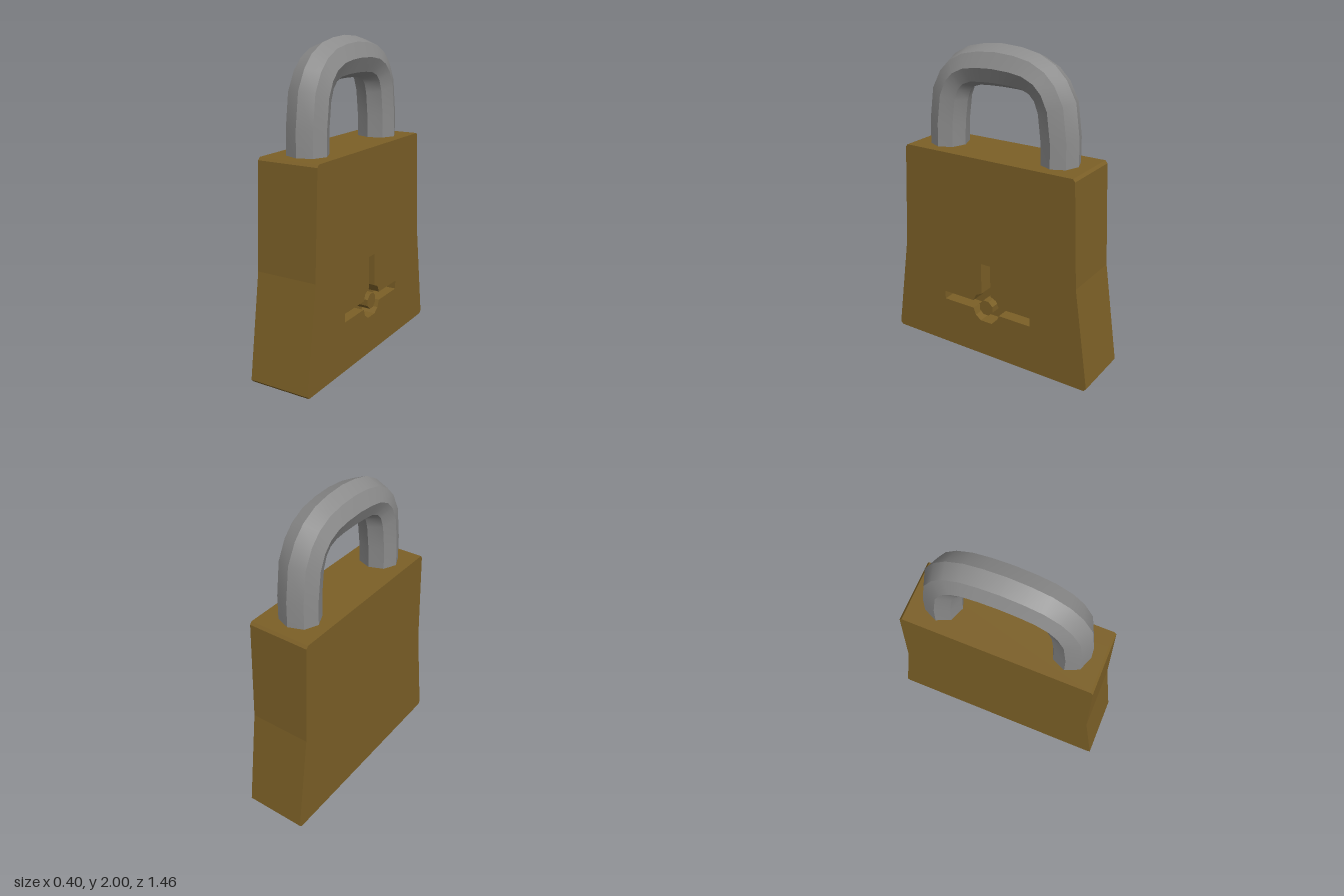
import * as THREE from 'three';

const brass = new THREE.MeshStandardMaterial({ color: 0x7c6027 });
brass.name = 'brass';
const steel = new THREE.MeshStandardMaterial({ color: 0x8c8c8c });
steel.name = 'steel';

const mirrored = (half) => [...half, ...half.map(([u, v]) => [-u, v]).reverse()];
const vectors = (points) => points.map(([u, v]) => new THREE.Vector2(u, v));

// Extrudes a side profile along x, from x0 to x1
function slab(name, shape, x0, x1) {
  const geometry = new THREE.ExtrudeGeometry(shape, { depth: x1 - x0, bevelEnabled: false });
  geometry.rotateY(Math.PI / 2);
  geometry.translate(x0, 0, 0);
  const mesh = new THREE.Mesh(geometry, brass);
  mesh.name = name;
  return mesh;
}

// Flared body outline with small chamfers
const bodyShape = () => new THREE.Shape(vectors(mirrored([
  [0.715, 0], [0.732, 0.018], [0.637, 0.67], [0.606, 1.325], [0.592, 1.342],
])));

// Round keyway with two side slots and one upper slot
const keywayOutline = mirrored([
  [0.042, 0.247], [0.08, 0.276], [0.098, 0.322], [0.325, 0.322], [0.325, 0.378],
  [0.098, 0.378], [0.078, 0.422], [0.035, 0.443], [0.035, 0.653],
]);

// Octagonal bar whose sides are creased across and smooth along the bend
function shackleGeometry() {
  // Each row: outer z, outer y, inner z, inner y
  const half = [
    [0.522, 1.25, 0.287, 1.25], [0.52, 1.5, 0.281, 1.48], [0.49, 1.715, 0.262, 1.63],
    [0.425, 1.835, 0.242, 1.69], [0.35, 1.91, 0.212, 1.722], [0.245, 1.965, 0.165, 1.738],
    [0.13, 1.99, 0.095, 1.743],
  ];
  const rows = [...half, [0, 2, 0, 1.745],
    ...half.map(([a, b, c, d]) => [-a, b, -c, d]).reverse()];
  const sides = 8, positions = [], indices = [];
  for (let s = 0; s < sides; s++) {
    const base = positions.length / 3;
    rows.forEach(([oz, oy, iz, iy], r) => {
      for (const k of [s, s + 1]) {
        const a = (k / sides) * Math.PI * 2;
        const t = (1 + Math.cos(a)) / 2;
        positions.push(0.13 * Math.sin(a), iy + (oy - iy) * t, iz + (oz - iz) * t);
      }
      if (r === 0) return;
      const p = base + (r - 1) * 2;
      indices.push(p, p + 1, p + 2, p + 1, p + 3, p + 2);
    });
  }
  const geometry = new THREE.BufferGeometry();
  geometry.setAttribute('position', new THREE.Float32BufferAttribute(positions, 3));
  geometry.setIndex(indices);
  // Make the sides face outwards: the first triangle lies on the outer +z, +x side
  const [a, b, c] = [0, 1, 2].map((i) =>
    new THREE.Vector3().fromArray(positions, indices[i] * 3));
  if (b.sub(a).cross(c.sub(a)).z < 0) geometry.setIndex(indices.reverse());
  geometry.computeVertexNormals();
  return geometry;
}

export function createModel() {
  const group = new THREE.Group();
  group.name = 'padlock';
  const floor = 0.1;

  // Body: solid back and a face plate cut by the keyway
  group.add(slab('body', bodyShape(), -0.2, floor));
  const plate = bodyShape();
  plate.holes.push(new THREE.Path(vectors(keywayOutline)));
  group.add(slab('facePlate', plate, floor, 0.2));

  // Pin in the middle of the keyway
  const pinGeometry = new THREE.CylinderGeometry(0.053, 0.053, 0.2 - floor, 8).toNonIndexed();
  pinGeometry.computeVertexNormals();
  pinGeometry.rotateY(Math.PI / 8);
  pinGeometry.rotateZ(-Math.PI / 2);
  const pin = new THREE.Mesh(pinGeometry, brass);
  pin.name = 'keyPin';
  pin.position.set((0.2 + floor) / 2, 0.35, 0);
  group.add(pin);

  // Shackle
  const shackle = new THREE.Mesh(shackleGeometry(), steel);
  shackle.name = 'shackle';
  group.add(shackle);

  return group;
}
